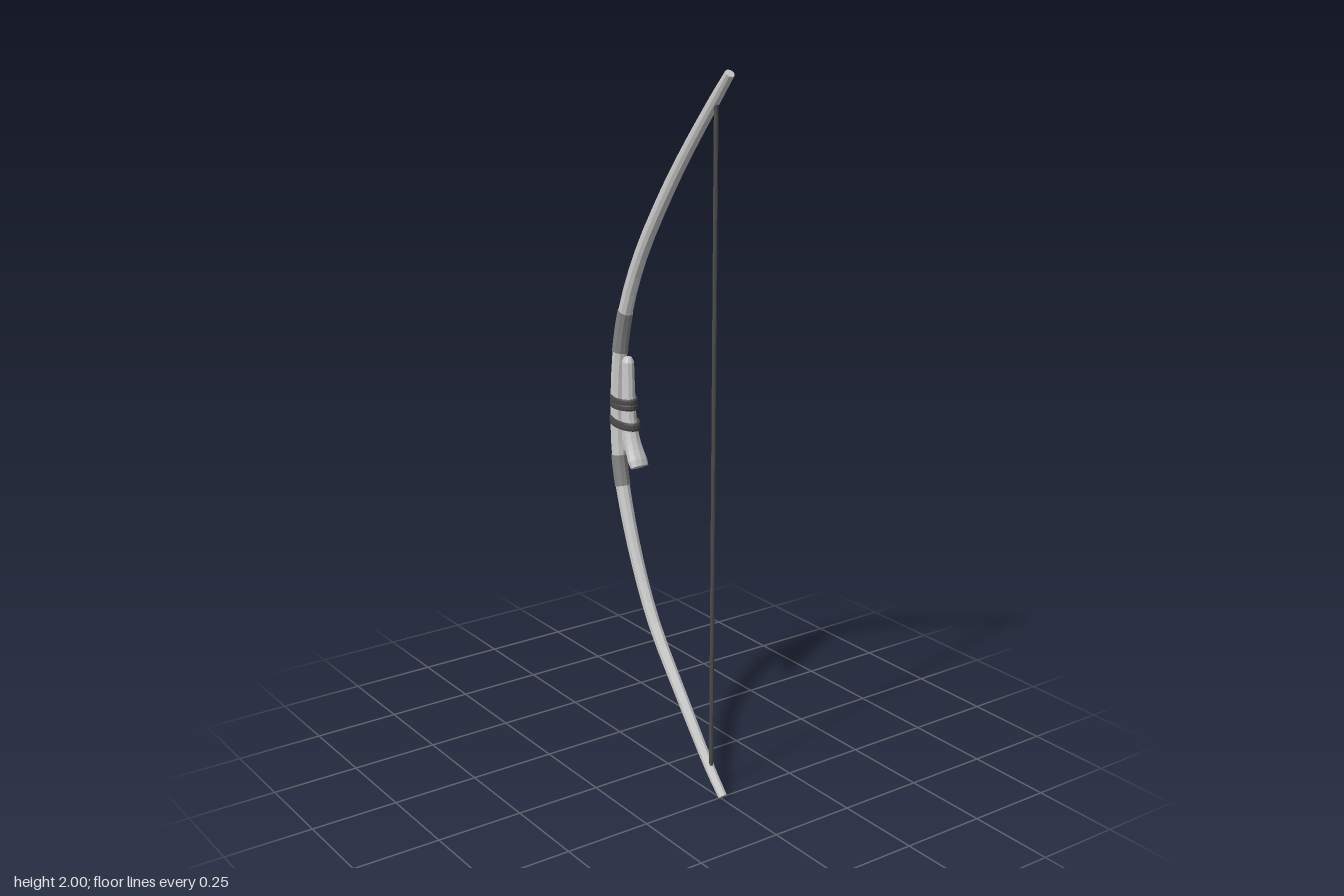
import * as THREE from 'three';

const paint = (color) => new THREE.MeshStandardMaterial({ color, flatShading: true });
const wood = paint(0xcccccc), leather = paint(0x858585), cord = paint(0x4c4c4c);

// Stave stations, bottom to top: x, y, half depth in x, half thickness in z
const STAVE = [
  [0.262, 0.009, 0.013, 0.013], [0.205, 0.068, 0.016, 0.014], [0.075, 0.228, 0.019, 0.016],
  [-0.068, 0.415, 0.021, 0.017], [-0.15, 0.575, 0.022, 0.018], [-0.21, 0.74, 0.023, 0.02],
  [-0.24, 0.87, 0.023, 0.021], [-0.247, 1.0, 0.023, 0.021], [-0.235, 1.17, 0.023, 0.021],
  [-0.202, 1.31, 0.022, 0.02], [-0.128, 1.475, 0.021, 0.018], [0, 1.67, 0.02, 0.016],
  [0.1, 1.8, 0.018, 0.015], [0.205, 1.925, 0.016, 0.014], [0.262, 1.991, 0.013, 0.013],
];

// Sweeps an elliptical section along stations lying in the xy plane
function sweep(stations, { steps = 40, sides = 10, from = 0, to = 1, grow = 0 } = {}) {
  const curve = new THREE.CatmullRomCurve3(stations.map(([x, y]) => new THREE.Vector3(x, y, 0)));
  const pos = [], index = [];
  for (let i = 0; i <= steps; i++) {
    const t = from + (to - from) * i / steps;
    const p = curve.getPoint(t), d = curve.getTangent(t);
    const f = t * (stations.length - 1), k = Math.min(Math.floor(f), stations.length - 2);
    const radius = (c) => THREE.MathUtils.lerp(stations[k][c], stations[k + 1][c], f - k) + grow;
    for (let j = 0; j < sides; j++) {
      const a = j / sides * Math.PI * 2, u = Math.cos(a) * radius(2);
      pos.push(p.x + d.y * u, p.y - d.x * u, Math.sin(a) * radius(3));
    }
  }
  for (let i = 0; i < steps; i++) for (let j = 0; j < sides; j++) {
    const a = i * sides + j, b = i * sides + (j + 1) % sides;
    index.push(a, a + sides, b, b, a + sides, b + sides);
  }
  // End caps as fans
  const last = steps * sides;
  for (let j = 1; j < sides - 1; j++) index.push(0, j, j + 1, last, last + j + 1, last + j);
  const geo = new THREE.BufferGeometry();
  geo.setAttribute('position', new THREE.Float32BufferAttribute(pos, 3));
  geo.setIndex(index);
  geo.computeVertexNormals();
  return geo;
}

// Curve parameter of the stave at a given height
function staveAt(y) {
  const k = STAVE.findIndex((s) => s[1] > y) - 1;
  return (k + (y - STAVE[k][1]) / (STAVE[k + 1][1] - STAVE[k][1])) / (STAVE.length - 1);
}

export function createModel() {
  const bow = new THREE.Group();
  bow.name = 'bow';
  const add = (name, geometry, material) => {
    const mesh = new THREE.Mesh(geometry, material);
    mesh.name = name;
    bow.add(mesh);
    return mesh;
  };

  add('stave', sweep(STAVE, { steps: 42 }), wood);

  // Leather sleeves above and below the grip
  for (const [name, y0, y1] of [['lowerWrap', 0.79, 0.88], ['upperWrap', 1.185, 1.305]]) {
    add(name, sweep(STAVE, { steps: 5, from: staveAt(y0), to: staveAt(y1), grow: 0.002 }), leather);
  }

  // Bowstring
  const string = add('string', new THREE.CylinderGeometry(0.006, 0.006, 1.855, 8), cord);
  string.position.set(0.207, 0.995, 0);

  // Forked arrow rest: stem with a flared toe, and a short heel
  add('arrowRest', sweep([
    [-0.193, 1.176, 0.012, 0.01], [-0.193, 1.162, 0.019, 0.017], [-0.191, 1.05, 0.021, 0.02],
    [-0.187, 0.975, 0.026, 0.022], [-0.17, 0.925, 0.023, 0.025], [-0.148, 0.884, 0.021, 0.03],
    [-0.138, 0.868, 0.017, 0.028],
  ], { steps: 18 }), wood);
  add('arrowRestHeel', sweep([
    [-0.188, 0.99, 0.02, 0.018], [-0.195, 0.935, 0.02, 0.018], [-0.199, 0.905, 0.014, 0.014],
  ], { steps: 6 }), wood);

  // Lashings binding the rest to the stave
  const lash = (name, x, y, rx, rz, h, tilt) => {
    const profile = [[0.82, -0.8], [0.95, -1], [1, -0.5], [1, 0.5], [0.95, 1], [0.82, 0.8], [0.82, -0.8]]
      .map(([r, v]) => new THREE.Vector2(r, v));
    const mesh = add(name, new THREE.LatheGeometry(profile, 20), cord);
    mesh.scale.set(rx, h, rz);
    mesh.position.set(x, y, 0);
    mesh.rotation.z = tilt;
  };
  lash('upperLashingTop', -0.216, 1.05, 0.052, 0.032, 0.009, 0);
  lash('upperLashingBottom', -0.216, 1.034, 0.052, 0.032, 0.009, 0);
  lash('lowerLashing', -0.211, 0.984, 0.062, 0.033, 0.012, -0.06);

  return bow;
}
